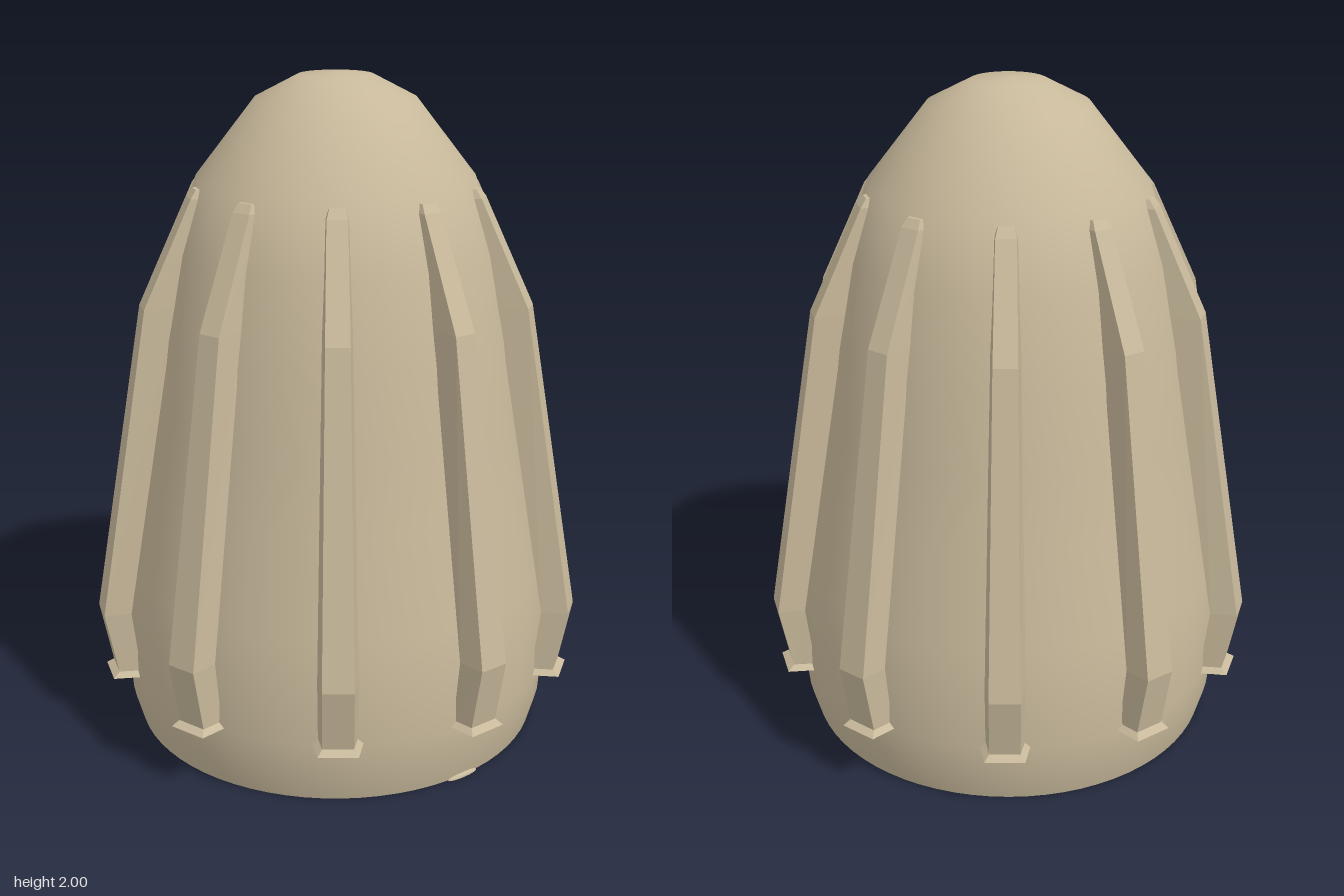
import * as THREE from 'three';

const shell = new THREE.MeshStandardMaterial({ color: 0xc8b99b });
shell.name = 'sand shell';
const steel = new THREE.MeshStandardMaterial({ color: 0x8c98a2 });
steel.name = 'steel grey';

function part(name, geometry, material) {
  const mesh = new THREE.Mesh(geometry, material);
  mesh.name = name;
  return mesh;
}

// Surface of revolution from [radius, height] pairs
function turned(name, points) {
  const profile = points.map(([r, y]) => new THREE.Vector2(r, y));
  return part(name, new THREE.LatheGeometry(profile, 72), shell);
}

// Rib lofted from trapezoid sections: [y, inner r, outer r, inner half width, outer half width]
function ribGeometry(sections) {
  const rows = sections.map(([y, ri, ro, wi, wo]) => [
    [ri, y, -wi], [ro, y, -wo], [ro, y, wo], [ri, y, wi],
  ]);
  const pos = [];
  const tri = (a, b, c) => pos.push(...a, ...b, ...c);
  for (let k = 0; k < rows.length - 1; k++) {
    const a = rows[k], b = rows[k + 1];
    for (let i = 0; i < 4; i++) {
      const j = (i + 1) % 4;
      tri(a[i], b[i], a[j]);
      tri(a[j], b[i], b[j]);
    }
  }
  const lo = rows[0], hi = rows[rows.length - 1];
  tri(lo[0], lo[1], lo[2]);
  tri(lo[0], lo[2], lo[3]);
  tri(hi[0], hi[2], hi[1]);
  tri(hi[0], hi[3], hi[2]);
  const g = new THREE.BufferGeometry();
  g.setAttribute('position', new THREE.Float32BufferAttribute(pos, 3));
  g.computeVertexNormals();
  return g;
}

export function createModel() {
  const model = new THREE.Group();
  model.name = 'ribbedNoseCone';

  // Outer shell
  model.add(turned('outerShell', [
    [0.63, 0], [0.655, 0.09], [0.662, 0.19], [0.66, 0.35], [0.642, 0.5],
    [0.592, 0.8], [0.56, 1.0], [0.526, 1.25], [0.475, 1.5], [0.41, 1.7],
    [0.235, 1.925], [0.11, 1.99], [0, 2],
  ]));

  // Open base: flat rim, tapering bore and its ceiling
  model.add(turned('baseRim', [[0.46, 0], [0.63, 0]]));
  model.add(turned('boreWall', [[0.38, 0.5], [0.39, 0.27], [0.46, 0]]));
  model.add(turned('boreCeiling', [[0, 0.5], [0.38, 0.5]]));

  // Metal ring inside the bore
  const ring = part('innerRing', new THREE.TorusGeometry(0.375, 0.02, 12, 64), steel);
  ring.rotation.x = Math.PI / 2;
  ring.position.y = 0.27;
  model.add(ring);

  // Small nub on the edge of the base
  const nub = part('baseNub',
    new THREE.SphereGeometry(1, 16, 6, 0, Math.PI * 2, 0, Math.PI / 2), shell);
  nub.scale.set(0.012, 0.012, 0.055);
  nub.position.set(0.63, 0, 0);
  model.add(nub);

  // Ten bent ribs with flared feet
  const rib = ribGeometry([
    [0.2, 0.645, 0.735, 0.075, 0.058],
    [0.215, 0.65, 0.715, 0.058, 0.045],
    [0.41, 0.672, 0.752, 0.058, 0.045],
    [1.35, 0.503, 0.59, 0.042, 0.034],
    [1.66, 0.38, 0.443, 0.036, 0.029],
    [1.685, 0.37, 0.425, 0.028, 0.022],
  ]);
  const ribs = new THREE.Group();
  ribs.name = 'ribs';
  for (let i = 0; i < 10; i++) {
    const mesh = part('rib', rib, shell);
    mesh.rotation.y = (i * Math.PI) / 5;
    ribs.add(mesh);
  }
  model.add(ribs);

  return model;
}
